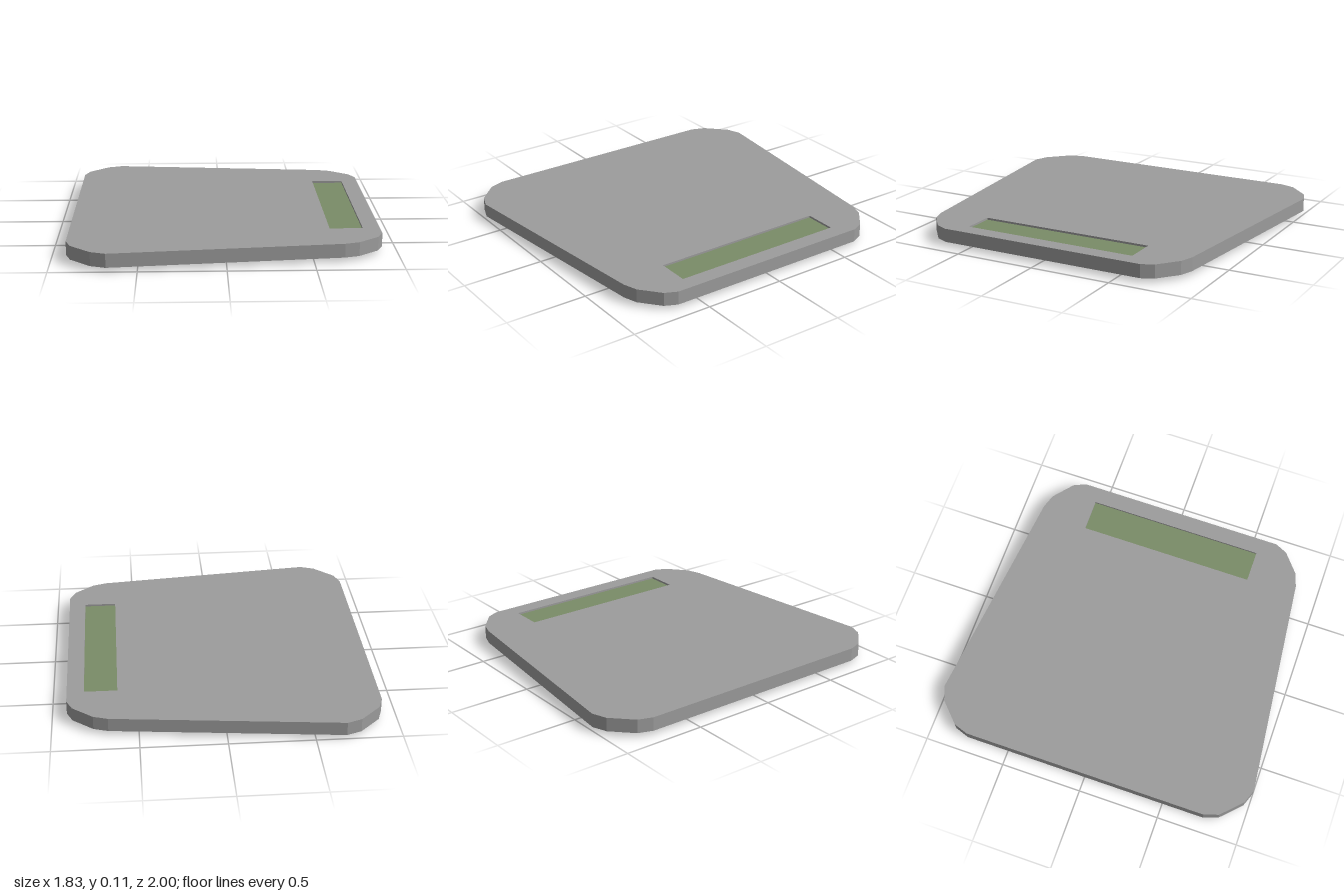
import * as THREE from 'three';
import { mergeGeometries } from 'three/addons/utils/BufferGeometryUtils.js';

const BOTTOM = 0.025, TOP = 0.107, RECESS = 0.095;

// Horizontal face from a shape drawn in x and -z
function plate(shape, y, down = false) {
  const g = new THREE.ShapeGeometry(shape).toNonIndexed();
  g.deleteAttribute('uv');
  if (down) g.rotateX(Math.PI / 2);
  else g.rotateX(-Math.PI / 2);
  return g.translate(0, y, 0);
}

// Flat vertical walls along a closed outline; counter-clockwise faces outward
function walls(points, y0, y1) {
  const pos = [];
  points.forEach((a, i) => {
    const b = points[(i + 1) % points.length];
    pos.push(a.x, y0, -a.y, b.x, y0, -b.y, b.x, y1, -b.y);
    pos.push(a.x, y0, -a.y, b.x, y1, -b.y, a.x, y1, -a.y);
  });
  const g = new THREE.BufferGeometry();
  g.setAttribute('position', new THREE.Float32BufferAttribute(pos, 3));
  g.computeVertexNormals();
  return g;
}

export function createModel() {
  const group = new THREE.Group();
  group.name = 'scale';
  const add = (name, geometry, color) => {
    const mesh = new THREE.Mesh(geometry, new THREE.MeshStandardMaterial({ color }));
    mesh.name = name;
    group.add(mesh);
    return mesh;
  };

  // Tapered outline with chamfered corners, mirrored front to back
  const half = [[0.914, 0.65], [0.88, 0.725], [0.76, 0.825], [0.675, 0.853],
    [-0.675, 1], [-0.763, 0.967], [-0.884, 0.848], [-0.914, 0.76]];
  // Wound counter-clockwise in x and -z
  const outline = [
    ...half.map(([x, z]) => new THREE.Vector2(x, z)),
    ...half.slice().reverse().map(([x, z]) => new THREE.Vector2(x, -z)),
  ];

  // Display window, wound clockwise so its walls face inward
  const windowCorners = [[0.617, -0.548], [0.617, 0.548], [0.813, 0.548], [0.813, -0.548]]
    .map(([x, z]) => new THREE.Vector2(x, z));

  // Body: top with window, solid underside, rim and recess walls
  const topShape = new THREE.Shape(outline);
  topShape.holes.push(new THREE.Path(windowCorners));
  add('body', mergeGeometries([
    plate(topShape, TOP),
    plate(new THREE.Shape(outline), BOTTOM, true),
    walls(outline, BOTTOM, TOP),
    walls(windowCorners, RECESS, TOP),
  ]), 0x9c9c9c);

  // Sunken display
  add('display', plate(new THREE.Shape(windowCorners), RECESS), 0x7a8c68);

  // Four round feet, wider apart at the broad end
  for (const [x, z] of [[-0.573, 0.81], [0.747, 0.65]]) {
    for (const side of [1, -1]) {
      const foot = add('foot', new THREE.CylinderGeometry(0.064, 0.064, BOTTOM, 24), 0x050505);
      foot.position.set(x, BOTTOM / 2, z * side);
    }
  }
  return group;
}
